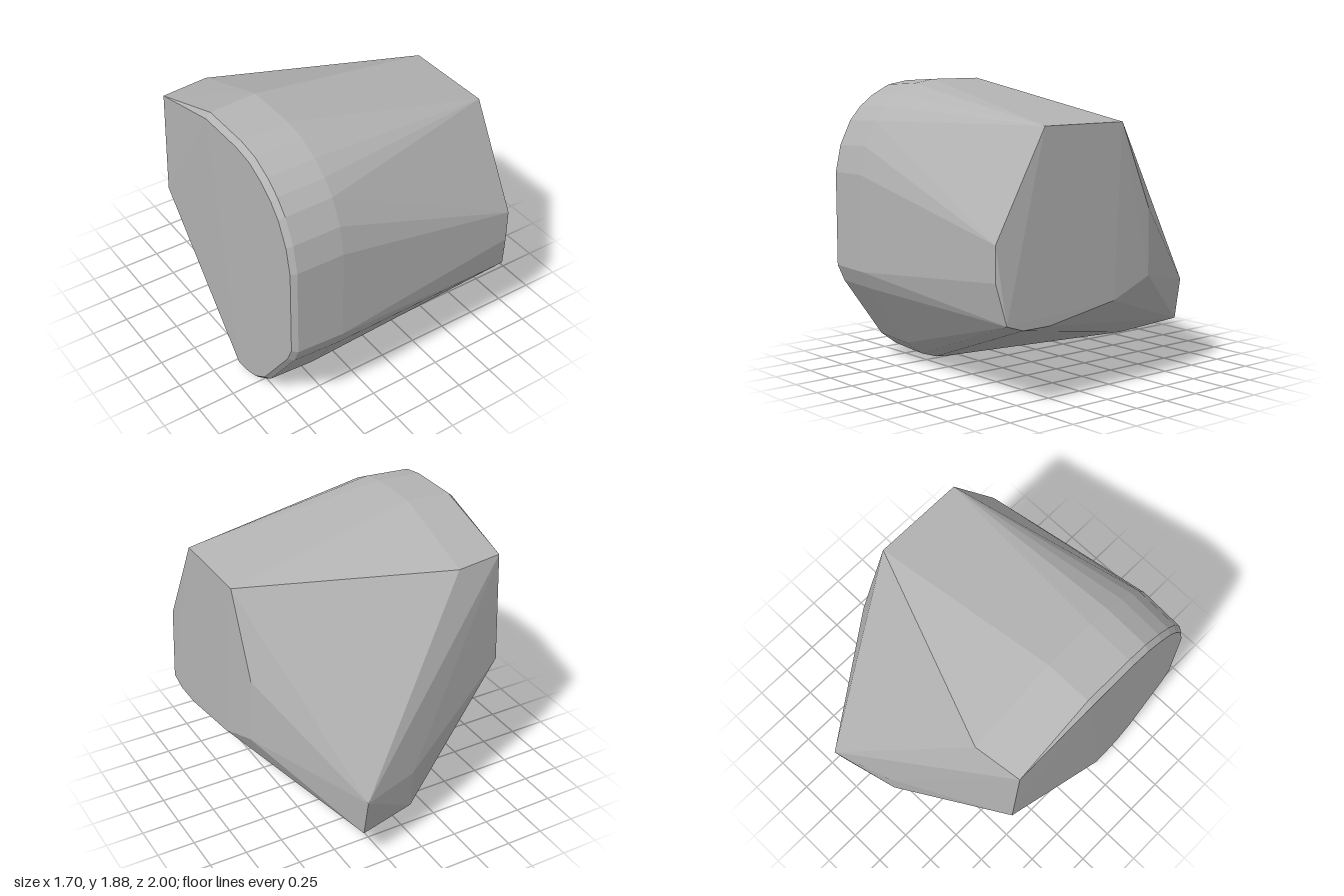
import * as THREE from 'three';
import { ConvexGeometry } from 'three/addons/geometries/ConvexGeometry.js';

// Turns a list of [z, y] pairs at one x into points, optionally drawn in towards a centre
function section(x, profile, shrink = 1, cz = 0.3, cy = 0.95) {
  return profile.map(([z, y]) =>
    new THREE.Vector3(x, cy + (y - cy) * shrink, cz + (z - cz) * shrink));
}

export function createModel() {
  const group = new THREE.Group();
  const stone = new THREE.MeshStandardMaterial({ color: 0xb3b3b3 });
  stone.name = 'grey stone';

  // Rounded end of the boulder
  const round = [
    [-0.55, 1.66], [0.06, 1.875], [0.42, 1.875], [0.57, 1.85], [0.70, 1.785],
    [0.80, 1.71], [0.88, 1.62], [0.96, 1.46], [1.0, 1.28], [1.0, 0.655],
    [0.95, 0.545], [0.66, 0.14], [0.54, 0.05], [0.42, 0.01], [0.32, 0],
  ];
  const roundInner = round.slice(1);

  // Flat facet at the narrow end: two levels of slant
  const upperFacet = [[0.58, 1.64], [-0.04, 1.64], [-0.27, 1.1], [0.95, 0.98], [0.95, 0.76]];
  const lowerFacet = [[0.06, 0.555], [0.58, 0.47], [0.78, 0.47], [0.9, 0.51]];

  const points = [
    ...section(-0.5, round),
    ...section(-0.81, roundInner, 0.982),
    ...section(-0.845, roundInner, 0.95),
    ...section(-0.825, [[-0.51, 1.665], [-0.55, 0.92]]),
    ...section(0.81, upperFacet),
    ...section(0.825, [[-0.26, 0.67]]),
    ...section(0.85, lowerFacet),
    // Back spur and underside
    ...section(0.4, [[-1, 0.5], [-0.95, 0.235], [-0.44, 0.21]]),
    ...section(0, [[-0.87, 0.5], [-0.85, 0.235]]),
  ];

  const boulder = new THREE.Mesh(new ConvexGeometry(points), stone);
  boulder.name = 'boulder';
  group.add(boulder);
  return group;
}
